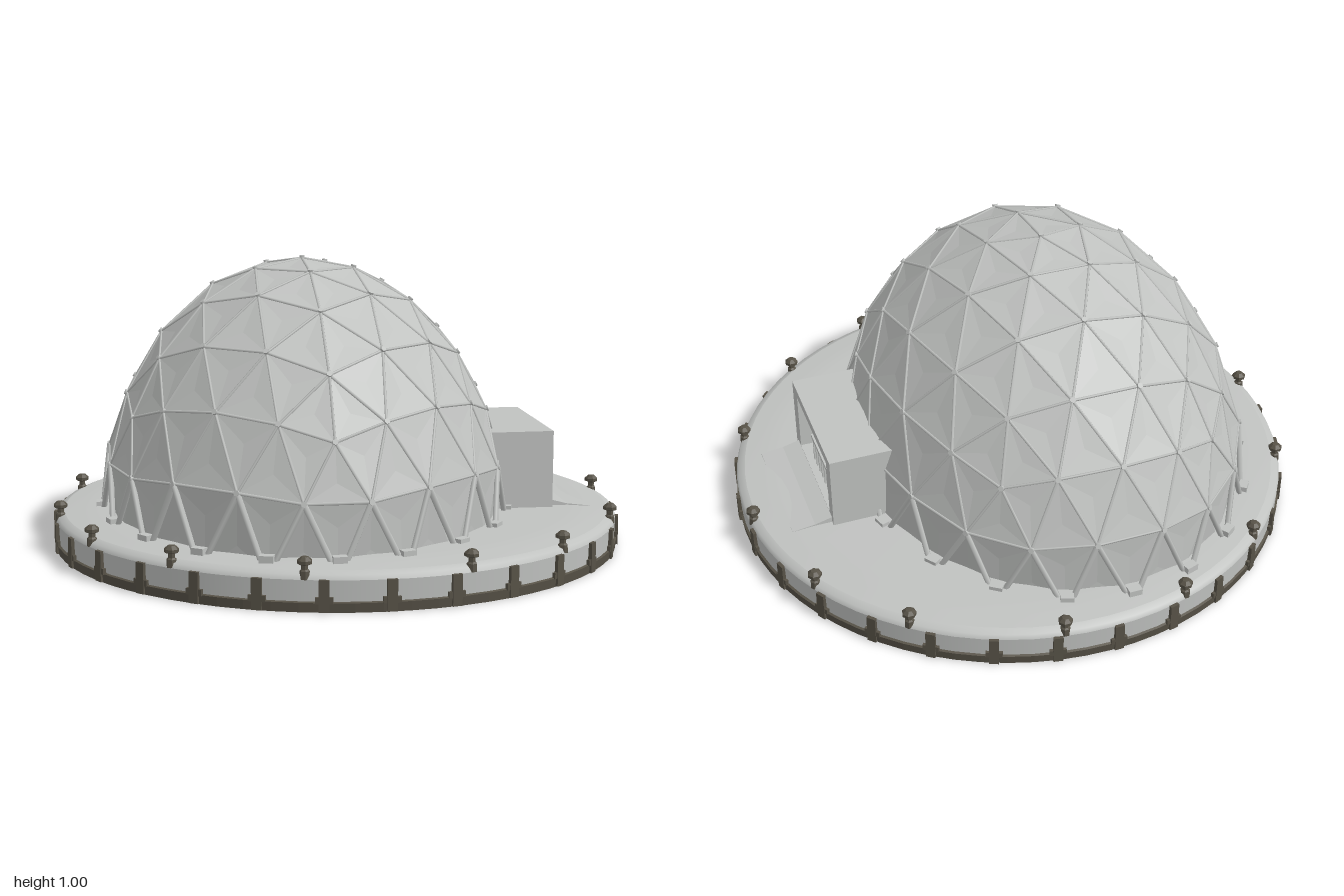
import * as THREE from 'three';
import { mergeGeometries } from 'three/addons/utils/BufferGeometryUtils.js';

const pale = new THREE.MeshStandardMaterial({ color: 0xc0c2c0 });
pale.name = 'pale concrete';
const paleFlat = new THREE.MeshStandardMaterial({ color: 0xc0c2c0, flatShading: true, side: THREE.DoubleSide });
paleFlat.name = 'pale panel';
const dark = new THREE.MeshStandardMaterial({ color: 0x575247, flatShading: true });
dark.name = 'dark stone';

// Dome ellipsoid: centre (sunk into the plinth) and radii
const centre = new THREE.Vector3(-0.118, 0.075, -0.005);
const radii = new THREE.Vector3(0.712, 0.918, 0.885);
const onDome = (dir, k = 1) => dir.clone().multiplyScalar(k).multiply(radii).add(centre);
const atGround = v => v.y < 0.01;

function add(group, name, geometry, material) {
  const mesh = new THREE.Mesh(geometry, material);
  mesh.name = name;
  group.add(mesh);
  return mesh;
}

const box = (w, h, d, x, y, z) => new THREE.BoxGeometry(w, h, d).translate(x, y, z);

function rod(a, b, radius, sides = 5) {
  const dir = b.clone().sub(a);
  const g = new THREE.CylinderGeometry(radius, radius, dir.length(), sides, 1);
  g.applyQuaternion(new THREE.Quaternion().setFromUnitVectors(new THREE.Vector3(0, 1, 0), dir.normalize()));
  return g.translate((a.x + b.x) / 2, (a.y + b.y) / 2, (a.z + b.z) / 2);
}

const lathe = (points, segments) =>
  new THREE.LatheGeometry(points.map(([r, y]) => new THREE.Vector2(r, y)), segments);

// Upper half of an icosahedron standing on a vertex, each face split in four along every edge
function geodesicTriangles() {
  const N = 4, up = new THREE.Vector3(0, 1, 0), tris = [];
  const ring = (i, offset, y) => {
    const a = Math.PI / 2 + (i * 72 + offset) * Math.PI / 180, r = 2 / Math.sqrt(5);
    return new THREE.Vector3(r * Math.cos(a), y / Math.sqrt(5), r * Math.sin(a));
  };
  const split = (A, B, C) => {
    const p = (i, j) => A.clone().multiplyScalar(N - i - j).addScaledVector(B, i).addScaledVector(C, j).normalize();
    for (let i = 0; i < N; i++) for (let j = 0; j < N - i; j++) {
      tris.push([p(i, j), p(i + 1, j), p(i, j + 1)]);
      if (i + j < N - 1) tris.push([p(i + 1, j), p(i + 1, j + 1), p(i, j + 1)]);
    }
  };
  for (let i = 0; i < 5; i++) {
    const a = ring(i, 0, 1), b = ring(i + 1, 0, 1), c = ring(i, 36, -1), d = ring(i + 1, 36, -1);
    split(up, b, a);
    split(a, b, c);
    split(b, d, c);
  }
  return tris.filter(t => t.every(v => v.y > -0.001));
}

function buildDome() {
  const dome = new THREE.Group();
  dome.name = 'dome';
  const positions = [], edges = new Map(), nodes = new Map();
  const key = v => [v.x, v.y, v.z].map(n => Math.round(n * 1000)).join();

  // Slightly dished panels; the lowest row leans in behind its struts
  for (const t of geodesicTriangles()) {
    const corners = t.map(v => onDome(v, atGround(v) ? 0.955 : 0.996));
    const mid = new THREE.Vector3();
    corners.forEach(c => mid.addScaledVector(c, 1 / 3));
    mid.lerp(centre, 0.004);
    t.forEach((v, i) => {
      const n = (i + 1) % 3;
      nodes.set(key(v), v);
      edges.set([key(v), key(t[n])].sort().join('|'), [v, t[n]]);
      for (const p of [corners[i], corners[n], mid]) positions.push(p.x, p.y, p.z);
    });
  }
  const panels = new THREE.BufferGeometry();
  panels.setAttribute('position', new THREE.Float32BufferAttribute(positions, 3));
  panels.computeVertexNormals();
  add(dome, 'domePanels', panels, paleFlat);

  const struts = [];
  for (const [a, b] of edges.values()) {
    if (atGround(a) && atGround(b)) continue;
    const low = atGround(a) || atGround(b);
    struts.push(rod(onDome(a, 0.996), onDome(b, 0.996), low ? 0.01 : 0.005));
  }
  add(dome, 'domeStruts', mergeGeometries(struts), pale);

  // Hubs at the joints, feet at the ground
  const hubs = [], feet = [];
  for (const v of nodes.values()) {
    const p = onDome(v);
    if (atGround(v)) {
      const foot = new THREE.BoxGeometry(0.03, 0.025, 0.045);
      feet.push(foot.rotateY(-Math.atan2(v.z, v.x)).translate(p.x, 0.138, p.z));
    } else {
      const out = v.clone().divide(radii).normalize().multiplyScalar(0.006);
      hubs.push(rod(p.clone().sub(out), p.clone().add(out), 0.01, 6));
    }
  }
  add(dome, 'domeHubs', mergeGeometries(hubs), pale);
  add(dome, 'domeFeet', mergeGeometries(feet), pale);
  return dome;
}

function buildBase() {
  const base = new THREE.Group();
  base.name = 'base';
  add(base, 'plinthSide', lathe([[0.982, 0.02], [0.985, 0.1]], 72), pale);
  add(base, 'plinthEdge', lathe([[0.985, 0.1], [0.978, 0.115], [0.955, 0.124]], 72), pale);
  add(base, 'plinthTop', lathe([[0.955, 0.124], [0.9, 0.13], [0.82, 0.137], [0, 0.142]], 72), pale);
  add(base, 'plinthFoot', lathe([[0, 0], [0.987, 0], [0.99, 0.03], [0.975, 0.036]], 72), dark);
  const ribs = [];
  for (let i = 0; i < 30; i++) {
    const rib = mergeGeometries([
      box(0.032, 0.1, 0.03, 0, 0.052, 0.98),
      box(0.055, 0.02, 0.026, 0, 0.038, 0.98),
    ]);
    ribs.push(rib.rotateY((i * 12 + 1.5) * Math.PI / 180));
  }
  add(base, 'plinthRibs', mergeGeometries(ribs), dark);
  return base;
}

// Small mushroom lamps around the rim
function buildLamps() {
  const lamps = new THREE.Group();
  lamps.name = 'rimLamps';
  const profile = [[0.018, 0.1], [0.016, 0.125], [0.011, 0.13], [0.011, 0.143],
    [0.024, 0.148], [0.024, 0.158], [0.012, 0.169], [0, 0.17]];
  for (const deg of [-5, 23, 50, 73, 104, 130, 153, 176, 203, 230, 253, 279, 309, 331]) {
    const a = deg * Math.PI / 180;
    add(lamps, 'rimLamp', lathe(profile, 7), dark).position.set(0.97 * Math.cos(a), 0, 0.97 * Math.sin(a));
  }
  return lamps;
}

// Boxy porch on the left side, opening towards +x
function buildEntrance() {
  const porch = new THREE.Group();
  porch.name = 'entrance';
  const z0 = -0.235, z1 = 0.27, top = 0.405;
  const rect = (path, a, b, c, d) => path.moveTo(a, c).lineTo(b, c).lineTo(b, d).lineTo(a, d).closePath();
  const shape = rect(new THREE.Shape(), -z1, -z0, 0.12, top);
  shape.holes.push(rect(new THREE.Path(), -0.21, 0.185, 0.16, 0.372));
  const frame = new THREE.ExtrudeGeometry(shape, { depth: 0.12, bevelEnabled: false });
  add(porch, 'porchFrame', frame.rotateY(Math.PI / 2).translate(0.6, 0, 0), paleFlat);
  add(porch, 'porchBody', box(0.16, top - 0.12, z1 - z0, 0.525, (top + 0.12) / 2, (z0 + z1) / 2), pale);

  // Door mullions, with a low railing in front
  const bars = [];
  for (let i = 0; i < 8; i++) {
    const z = -0.17 + i * 0.052;
    bars.push(box(0.012, 0.212, 0.009, 0.635, 0.266, z));
    bars.push(box(0.01, 0.09, 0.008, 0.69, 0.205, z * 0.7 - 0.02));
  }
  bars.push(box(0.012, 0.012, 0.39, 0.635, 0.34, 0.012));
  bars.push(box(0.012, 0.012, 0.3, 0.69, 0.25, -0.012));
  add(porch, 'porchBars', mergeGeometries(bars), pale);

  // Gentle apron sloping away from the doorway
  const apron = new THREE.Shape([[0.6, 0.12], [0.87, 0.12], [0.86, 0.132], [0.78, 0.142], [0.72, 0.158], [0.6, 0.16]]
    .map(([x, y]) => new THREE.Vector2(x, y)));
  const ramp = new THREE.ExtrudeGeometry(apron, { depth: 0.46, bevelEnabled: false });
  add(porch, 'porchApron', ramp.translate(0, 0, -0.215), paleFlat);
  return porch;
}

export function createModel() {
  const model = new THREE.Group();
  model.name = 'geodesicDome';
  model.add(buildBase(), buildLamps(), buildDome(), buildEntrance());
  return model;
}
